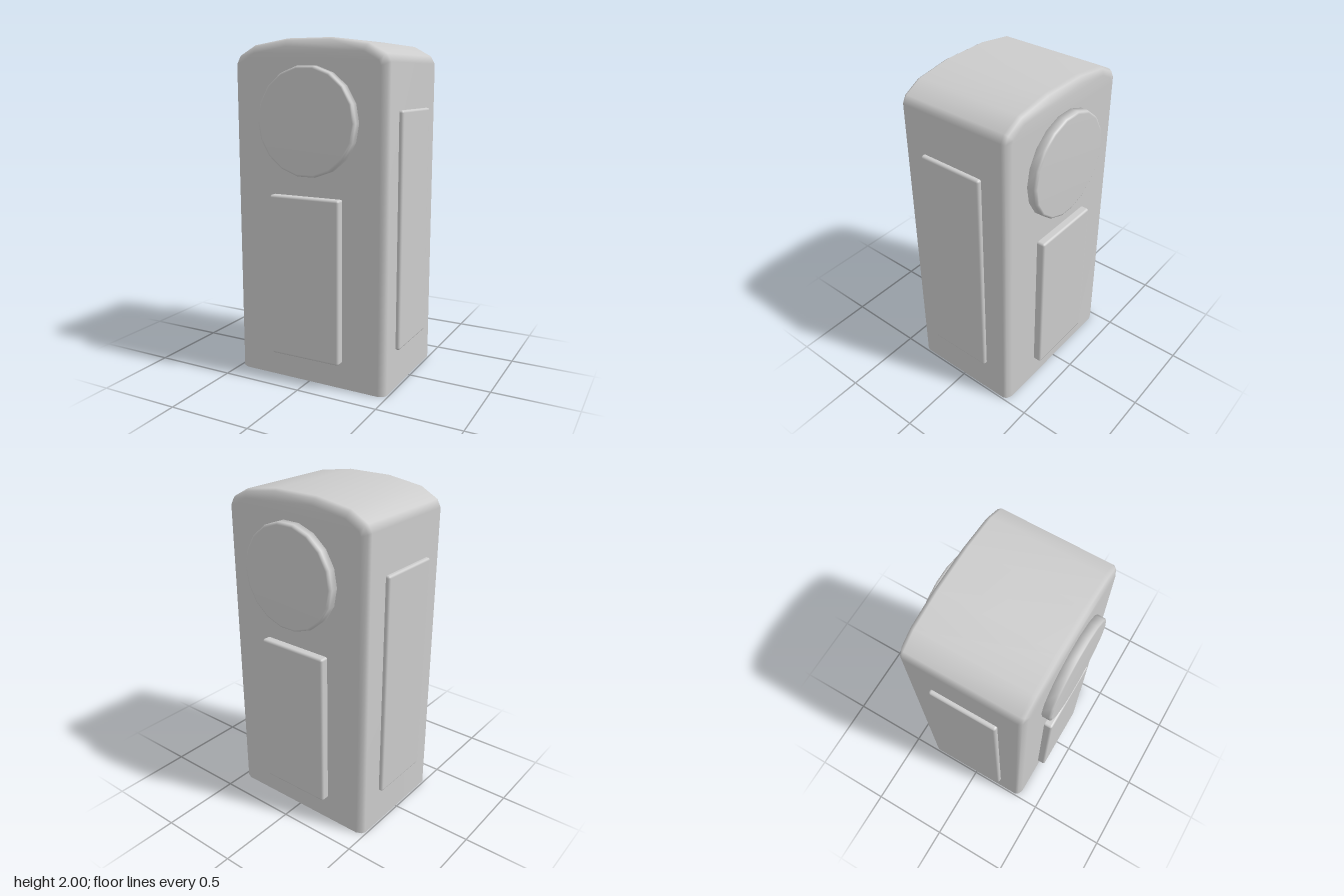
import * as THREE from 'three';
import { mergeVertices } from 'three/addons/utils/BufferGeometryUtils.js';
import { RoundedBoxGeometry } from 'three/addons/geometries/RoundedBoxGeometry.js';

const grey = new THREE.MeshStandardMaterial({ color: 0xcccccc });
const greyShell = new THREE.MeshStandardMaterial({ color: 0xcccccc, side: THREE.DoubleSide });

function add(group, name, geometry, material, x = 0, y = 0, z = 0) {
  const mesh = new THREE.Mesh(geometry, material);
  mesh.name = name;
  mesh.position.set(x, y, z);
  group.add(mesh);
  return mesh;
}

// Arched housing, open underneath: outline rings lofted from front to back
function housingGeometry() {
  // x, y, and the direction in which the point is inset for the bevel
  const half = [
    [0.49, 0, 1, 0],
    [0.49, 1.865, 1, 0.4],
    [0.465, 1.91, 0.7, 0.8],
    [0.36, 1.967, 0.3, 1],
    [0.14, 2.0, 0.08, 1],
  ];
  const outline = [...half, ...half.map(([x, y, nx, ny]) => [-x, y, -nx, ny]).reverse()];
  const rings = [[0.36, 0.045], [0.345, 0.012], [0.325, 0], [-0.325, 0], [-0.345, 0.012], [-0.36, 0.045]];
  const n = outline.length;
  const positions = [];
  const index = [];
  for (const [z, inset] of rings) {
    for (const [x, y, nx, ny] of outline) positions.push(x - nx * inset, y - ny * inset, z);
  }
  for (let r = 0; r < rings.length - 1; r++) {
    for (let i = 0; i < n - 1; i++) {
      const a = r * n + i, d = a + n;
      index.push(a, d, d + 1, a, d + 1, a + 1);
    }
  }
  // Front and back walls
  const back = (rings.length - 1) * n;
  for (let i = 0; i < n / 2 - 1; i++) {
    const a = i, b = i + 1, c = n - 2 - i, d = n - 1 - i;
    index.push(a, b, c, a, c, d);
    index.push(back + a, back + c, back + b, back + a, back + d, back + c);
  }
  const geometry = new THREE.BufferGeometry();
  geometry.setAttribute('position', new THREE.Float32BufferAttribute(positions, 3));
  geometry.setIndex(index);
  geometry.computeVertexNormals();
  return geometry;
}

// Eighteen-sided disc with a bevelled rim, facing +z
function discGeometry() {
  const profile = [[0, -0.07], [0.31, -0.07], [0.31, -0.016], [0.306, -0.005], [0.295, 0], [0, 0]]
    .map(([r, h]) => new THREE.Vector2(r, h));
  const lathe = new THREE.LatheGeometry(profile, 18, Math.PI / 2);
  lathe.deleteAttribute('normal');
  lathe.deleteAttribute('uv');
  const geometry = mergeVertices(lathe, 1e-4);
  geometry.rotateX(Math.PI / 2);
  geometry.computeVertexNormals();
  return geometry;
}

export function createModel() {
  const model = new THREE.Group();
  model.name = 'archedHousing';

  add(model, 'housing', housingGeometry(), greyShell);

  // Round plates and lower panels on the front and back
  const disc = discGeometry();
  const lowerPanel = new RoundedBoxGeometry(0.45, 0.965, 0.06, 2, 0.014);
  for (const [side, s] of [['front', 1], ['back', -1]]) {
    const plate = add(model, side + 'Disc', disc, grey, 0.0125, 1.543, s * 0.417);
    if (s < 0) plate.rotation.y = Math.PI;
    add(model, side + 'Panel', lowerPanel, grey, -0.004, 0.6375, s * 0.38);
  }

  // Tall panels on the left and right
  const sidePanel = new RoundedBoxGeometry(0.035, 1.375, 0.405, 2, 0.014);
  for (const [side, s] of [['left', 1], ['right', -1]]) {
    add(model, side + 'Panel', sidePanel, grey, s * 0.4975, 0.9225, 0.0075);
  }

  return model;
}
